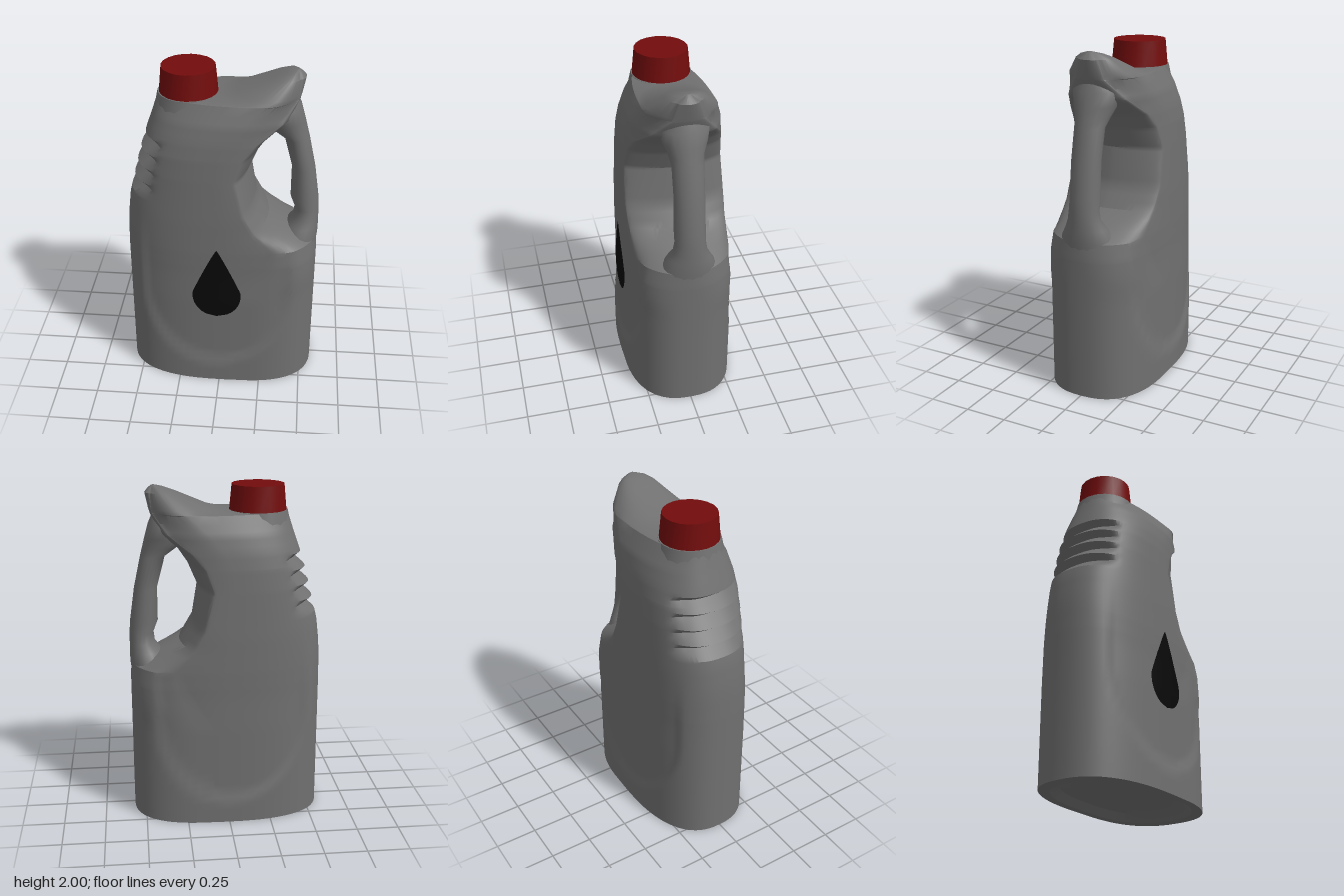
import * as THREE from 'three';
import { toCreasedNormals } from 'three/addons/utils/BufferGeometryUtils.js';

const mat = (name, color, side = THREE.FrontSide) => {
  const m = new THREE.MeshStandardMaterial({ color, side });
  m.name = name;
  return m;
};
const clamp01 = (v) => Math.min(1, Math.max(0, v));
const smooth = (v) => { v = clamp01(v); return v * v * (3 - 2 * v); };

// Body sections: height, left end, widest x, half depth, crease x, crease depth, right end
const SECTIONS = [
  [0.6, -0.575, 0, 0.33, 0.1, 0.328, 0.57],
  [0.85, -0.575, 0, 0.325, 0.26, 0.305, 0.57],
  [0.95, -0.573, 0, 0.32, 0.3, 0.293, 0.565],
  [1.0, -0.572, 0, 0.316, 0.265, 0.293, 0.46],
  [1.08, -0.567, 0, 0.31, 0.2, 0.292, 0.275],
  [1.2, -0.553, 0, 0.304, 0.135, 0.295, 0.2],
  [1.42, -0.5, -0.03, 0.295, 0.08, 0.287, 0.165],
  [1.55, -0.465, -0.02, 0.288, 0.125, 0.273, 0.22],
  [1.64, -0.435, 0.02, 0.278, 0.2, 0.25, 0.28],
  [1.74, -0.4, 0.1, 0.257, 0.33, 0.185, 0.39],
  [1.849, -0.365, 0.22, 0.21, 0.418, 0.095, 0.435],
  [1.853, -0.03, 0.24, 0.208, 0.42, 0.09, 0.436],
  [1.875, 0.08, 0.28, 0.188, 0.425, 0.085, 0.442],
  [1.96, 0.28, 0.36, 0.11, 0.43, 0.06, 0.46],
  [1.985, 0.35, 0.385, 0.07, 0.42, 0.03, 0.44],
  [2, 0.4, 0.41, 0.015, 0.415, 0.01, 0.42],
];
const N = 2.5;

function sectionAt(y) {
  let i = 1;
  while (i < SECTIONS.length - 1 && SECTIONS[i][0] < y) i++;
  const a = SECTIONS[i - 1], b = SECTIONS[i];
  const t = clamp01((y - a[0]) / (b[0] - a[0]));
  return a.map((v, k) => v + (b[k] - v) * t);
}

// Shallow oval panel on both sides
function recess(x, y, z) {
  const ry = y < 0.65 ? (y - 0.65) / 0.52 : 0;
  const e = ((x + 0.02) / 0.455) ** 2 + ry * ry;
  const fade = 1 - smooth((y - 0.75) / 0.45);
  return 0.018 * smooth((1 - e) / 0.2) * fade * Math.min(1, z / 0.15);
}

function sideZ(s, x, y) {
  const [, L, P, M, C, zc] = s;
  const z = x < P
    ? M * (1 - Math.min(1, (P - x) / (P - L)) ** N) ** (1 / N)
    : M + (zc - M) * ((x - P) / (C - P)) ** 2;
  return z - recess(x, y, z);
}

// Saw-tooth finger grooves on the left edge
const GROOVE0 = 1.257, PITCH = 0.09, GROOVES = 4;
function groove(y) {
  const k = (y - GROOVE0) / PITCH;
  if (k <= 0 || k >= GROOVES) return 0;
  const f = k - Math.floor(k + 1e-6);
  return 0.05 * (f < 0.65 ? Math.max(0, f) / 0.65 : (1 - f) / 0.35);
}

// Closed loop of [x, z] around the body at height y
function bodyLoop(y) {
  const s = sectionAt(y), [, L, P, , C, zc, R] = s;
  // the right end is round at the base and more pointed beside the handle
  const wallN = N - smooth((y - 0.7) / 0.4) + 0.3 * smooth((y - 1.6) / 0.25);
  const half = [];
  for (let i = 0; i < 20; i++) {
    const u = Math.cos((i / 20) * Math.PI / 2) ** (2 / N);
    const x = P - (P - L) * u;
    half.push([x + groove(y) * clamp01((u - 0.7) / 0.2), i ? sideZ(s, x, y) : 0]);
  }
  for (let i = 0; i < 8; i++) {
    const x = P + (C - P) * i / 8;
    half.push([x, sideZ(s, x, y)]);
  }
  for (let i = 0; i <= 14; i++) {
    const a = (i / 14) * Math.PI / 2;
    const x = C + (R - C) * Math.sin(a) ** (2 / wallN);
    const z = i === 14 ? 0 : zc * Math.cos(a) ** (2 / wallN);
    half.push([x, z - recess(x, y, z)]);
  }
  return [...half, ...half.slice(1, -1).reverse().map(([x, z]) => [x, -z])];
}

// Skin a stack of equal-length loops of [x, y, z]
function loft(loops, crease) {
  const n = loops[0].length, idx = [];
  for (let r = 0; r < loops.length - 1; r++) {
    for (let i = 0; i < n; i++) {
      const a = r * n + i, b = r * n + (i + 1) % n;
      idx.push(a, b, b + n, a, b + n, a + n);
    }
  }
  const g = new THREE.BufferGeometry();
  g.setAttribute('position', new THREE.Float32BufferAttribute(loops.flat(2), 3));
  g.setIndex(idx);
  return toCreasedNormals(g, crease);
}

function bodyGeometry() {
  const ys = SECTIONS.map((s) => s[0]);
  for (let y = 0; y < 1.82; y += 0.04) if (y < 1.25 || y > 1.63) ys.push(y);
  for (let k = 0; k < GROOVES; k++) {
    for (const f of [0, 0.33, 0.65]) ys.push(GROOVE0 + (k + f) * PITCH);
  }
  ys.push(GROOVE0 + GROOVES * PITCH);
  ys.sort((a, b) => a - b);
  const rows = ys.filter((y, i) => !i || y - ys[i - 1] > 0.002);
  const scaled = (y, k) => bodyLoop(0).map(([x, z]) => [x * k, y, z * k]);
  const loops = [scaled(0.06, 0), scaled(0.055, 0.5), scaled(0.04, 0.75), scaled(0, 0.86)]; // hollow base
  for (const y of rows) loops.push(bodyLoop(y).map(([x, z]) => [x, y, z]));
  loops.push(loops[loops.length - 1].map(() => [0.41, 2, 0]));
  return loft(loops, 0.55);
}

// Handle sections: height, inner x, outer x, half depth
function handleGeometry() {
  const rows = [
    [0.85, 0.3, 0.56, 0.18], [0.95, 0.34, 0.571, 0.165], [1.02, 0.38, 0.572, 0.125],
    [1.07, 0.42, 0.571, 0.1], [1.13, 0.427, 0.57, 0.09], [1.2, 0.4, 0.565, 0.09],
    [1.4, 0.4, 0.536, 0.088], [1.59, 0.35, 0.495, 0.09], [1.64, 0.28, 0.482, 0.1],
    [1.7, 0.24, 0.467, 0.125], [1.78, 0.24, 0.445, 0.14], [1.84, 0.28, 0.42, 0.09],
  ];
  return loft(rows.map(([y, a, b, d]) => Array.from({ length: 20 }, (_, i) => {
    const t = (i / 20) * Math.PI * 2;
    return [(a + b) / 2 - Math.cos(t) * (b - a) / 2, y, Math.sin(t) * d];
  })), 0.9);
}

// Teardrop decal following the front surface
function dropGeometry() {
  const g = new THREE.PlaneGeometry(2, 1, 12, 30), p = g.attributes.position;
  for (let i = 0; i < p.count; i++) {
    const y = 0.5 + 0.48 * (p.getY(i) + 0.5);
    const w = y < 0.68
      ? 0.145 * Math.sqrt(Math.max(0, 1 - ((0.65 - y) / 0.15) ** 2))
      : 0.142 * Math.max(0, 1 - (y - 0.68) / 0.3) ** 0.9;
    const x = -0.015 + p.getX(i) * w;
    p.setXYZ(i, x, y, sideZ(sectionAt(y), x, y) + 0.005);
  }
  g.computeVertexNormals();
  return g;
}

export function createModel() {
  const grey = mat('grey plastic', 0x707070);
  const red = mat('red cap', 0x720c0c);
  const black = mat('black print', 0x090909, THREE.DoubleSide);
  const model = new THREE.Group();
  model.name = 'jug';
  const add = (name, geometry, material, x = 0, y = 0) => {
    const m = new THREE.Mesh(geometry, material);
    m.name = name;
    m.position.set(x, y, 0);
    model.add(m);
  };
  add('body', bodyGeometry(), grey);
  add('handle', handleGeometry(), grey);
  add('neck', toCreasedNormals(new THREE.CylinderGeometry(0.175, 0.2, 0.113, 20), 0.6), grey, -0.195, 1.7965);
  add('cap', toCreasedNormals(new THREE.CylinderGeometry(0.154, 0.168, 0.148, 20), 0.6), red, -0.195, 1.926);
  add('drop', dropGeometry(), black);
  return model;
}
